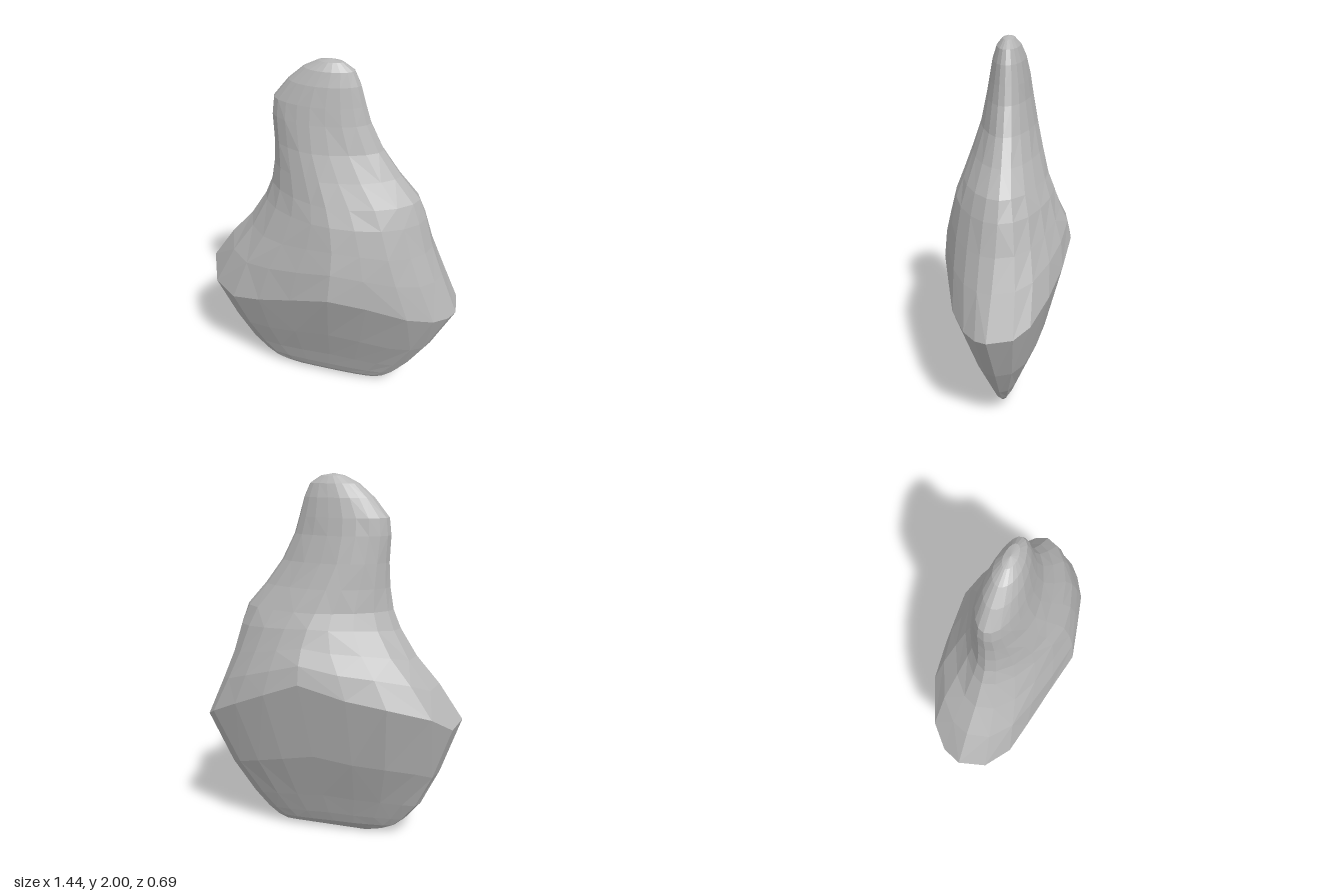
import * as THREE from 'three';

const SIDES = 20;
const RIDGE_X = 0.08;
const GIRDLE_Y = 0.7;

// Sharp girdle around the stone, from +x through the front (+z) and back: x, y, z
const GIRDLE = [
  [0.72, 0.65, 0.04], [0.69, 0.645, 0.10], [0.62, 0.65, 0.165], [0.49, 0.69, 0.24],
  [0.28, 0.755, 0.295], [0.08, 0.80, 0.345], [-0.15, 0.72, 0.295], [-0.35, 0.65, 0.255],
  [-0.52, 0.61, 0.22], [-0.66, 0.63, 0.13], [-0.72, 0.72, 0], [-0.68, 0.69, -0.11],
  [-0.58, 0.77, -0.21], [-0.36, 0.84, -0.31], [-0.15, 0.88, -0.335], [0.10, 0.95, -0.345],
  [0.30, 0.87, -0.31], [0.48, 0.79, -0.25], [0.64, 0.71, -0.17], [0.70, 0.665, -0.09],
];

// Cross-sections: y, -x edge, +x edge, front z, back z, ridge x
const SECTIONS = [
  [0.022, -0.30, 0.28, 0.026, 0.026, -0.02],
  [0.05, -0.365, 0.335, 0.048, 0.052, -0.02],
  [0.10, -0.425, 0.39, 0.072, 0.080, 0.00],
  [0.20, -0.51, 0.47, 0.110, 0.130, 0.02],
  [0.40, -0.61, 0.59, 0.205, 0.240, 0.04],
  [GIRDLE_Y, -0.72, 0.72, 0.345, 0.345, RIDGE_X],
  [0.90, -0.59, 0.625, 0.328, 0.325, 0.09],
  [1.05, -0.465, 0.56, 0.300, 0.285, 0.09],
  [1.20, -0.375, 0.515, 0.270, 0.250, 0.07],
  [1.30, -0.335, 0.475, 0.235, 0.215, 0.04],
  [1.42, -0.315, 0.37, 0.192, 0.182, -0.01],
  [1.55, -0.308, 0.275, 0.150, 0.150, -0.06],
  [1.69, -0.315, 0.205, 0.122, 0.122, -0.08],
  [1.78, -0.305, 0.178, 0.106, 0.108, -0.08],
  [1.88, -0.225, 0.150, 0.086, 0.088, -0.06],
  [1.95, -0.145, 0.118, 0.062, 0.062, -0.03],
  [1.988, -0.07, 0.06, 0.032, 0.032, -0.01],
];

function seeded(seed) {
  return () => {
    seed = (seed * 16807) % 2147483647;
    return seed / 2147483647;
  };
}

// How far a section follows the girdle, fading to a rounded outline above and below
function girdleFollow(y) {
  const t = y > GIRDLE_Y ? (1.3 - y) / 0.6 : y / GIRDLE_Y;
  return Math.pow(Math.max(0, t), 1.3);
}

// Fuller than an ellipse near the bottom, more diamond-like around the shoulders
function sharpness(y, positiveX) {
  if (y < GIRDLE_Y) return 0.92;
  const [peak, amount] = positiveX ? [1.45, 0.15] : [1.23, 0.25];
  return 1 + amount * Math.exp(-(((y - peak) / 0.3) ** 2));
}

function stoneGeometry() {
  const rand = seeded(41);
  const points = [];
  const faces = [];
  const bend = (v, e) => Math.sign(v) * Math.pow(Math.abs(v), e);
  const mix = THREE.MathUtils.lerp;

  // Rings of points blending from a rounded outline to the girdle's own outline
  for (const [y, xl, xr, zf, zb, cx] of SECTIONS) {
    const follow = girdleFollow(y);
    GIRDLE.forEach(([gx, gy, gz], i) => {
      const a = (i / SIDES) * Math.PI * 2;
      const e = sharpness(y, Math.cos(a) > 0);
      const gu = (gx - RIDGE_X) / (gx > RIDGE_X ? 0.72 - RIDGE_X : 0.72 + RIDGE_X);
      const u = mix(bend(Math.cos(a), e), gu, follow);
      const v = mix(bend(Math.sin(a), e), gz / 0.345, follow);
      // Slight chipping between the edges and the ridge
      const chip = 1 - rand() * 0.04 * Math.abs(Math.sin(2 * a)) * (1 - follow);
      points.push(
        cx + u * (u > 0 ? xr - cx : cx - xl),
        y + follow * (gy - GIRDLE_Y),
        v * (v > 0 ? zf : zb) * chip
      );
    });
  }

  // Facets between rings, with varied diagonals
  const last = SECTIONS.length - 1;
  for (let k = 0; k < last; k++) {
    for (let i = 0; i < SIDES; i++) {
      const j = (i + 1) % SIDES;
      const a = k * SIDES + i, b = k * SIDES + j;
      const c = a + SIDES, d = b + SIDES;
      if (rand() < 0.5) faces.push(a, c, b, b, c, d);
      else faces.push(a, c, d, a, d, b);
    }
  }

  // Closed bottom and tip
  const bottom = points.length / 3;
  points.push(-0.2, 0, 0, -0.01, 2, 0);
  for (let i = 0; i < SIDES; i++) {
    const j = (i + 1) % SIDES;
    faces.push(bottom, i, j);
    faces.push(bottom + 1, last * SIDES + j, last * SIDES + i);
  }

  const geometry = new THREE.BufferGeometry();
  geometry.setAttribute('position', new THREE.Float32BufferAttribute(points, 3));
  geometry.setIndex(faces);
  const flat = geometry.toNonIndexed();
  flat.computeVertexNormals();
  return flat;
}

export function createModel() {
  const stoneGrey = new THREE.MeshStandardMaterial({ color: 0xb6b6b6, flatShading: true });
  stoneGrey.name = 'stoneGrey';

  const group = new THREE.Group();
  group.name = 'stone';
  const body = new THREE.Mesh(stoneGeometry(), stoneGrey);
  body.name = 'stoneBody';
  group.add(body);
  return group;
}
